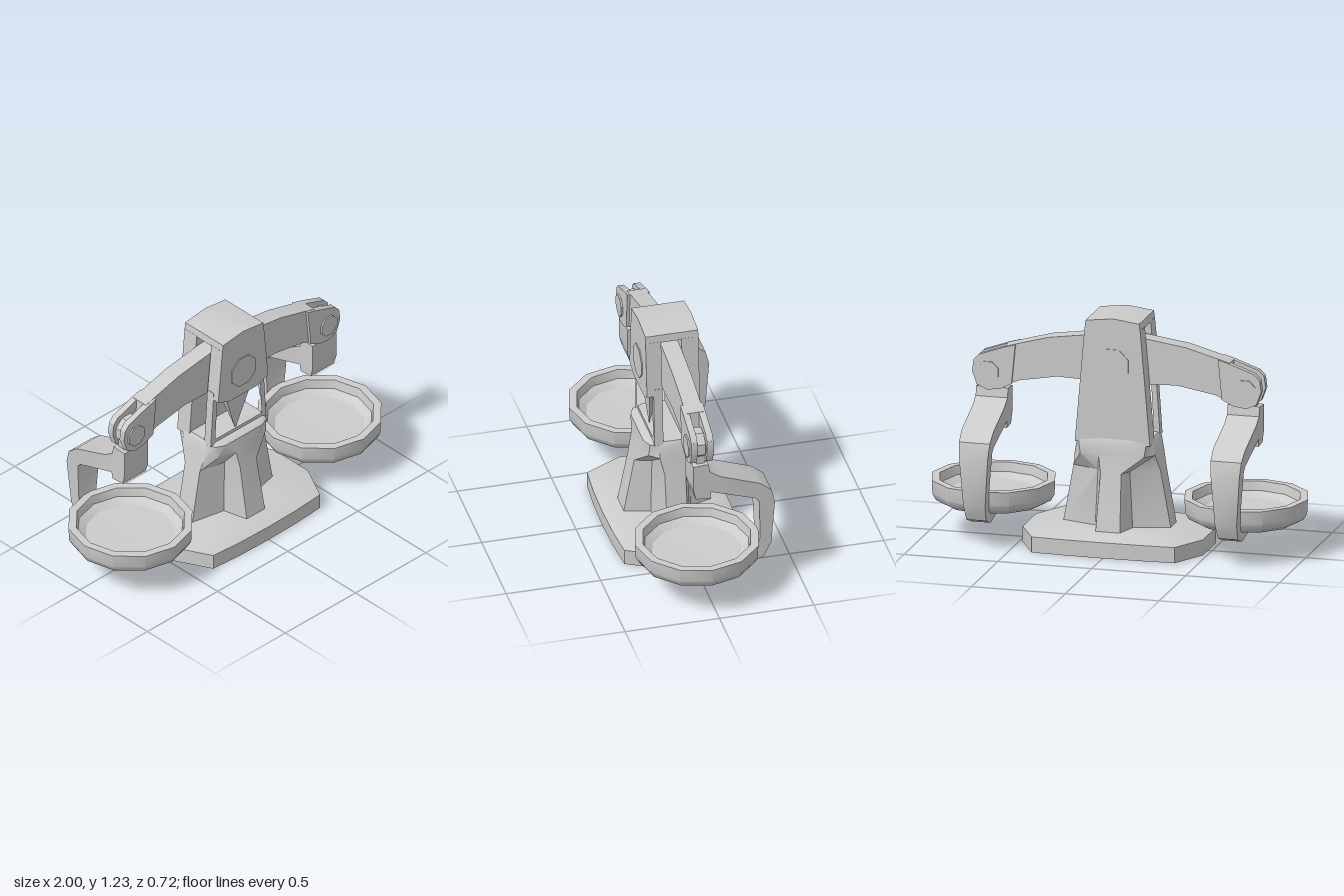
import * as THREE from 'three';
import { toCreasedNormals } from 'three/addons/utils/BufferGeometryUtils.js';

const material = new THREE.MeshStandardMaterial({ color: 0xcccccc });

function part(name, geometry, parent) {
  const mesh = new THREE.Mesh(toCreasedNormals(geometry, 0.56), material);
  mesh.name = name;
  parent.add(mesh);
  return mesh;
}

// Flat plate: outline in x/y, running from z0 to z1
function plate(points, z0, z1, hole) {
  const toVec = (p) => new THREE.Vector2(p[0], p[1]);
  const shape = new THREE.Shape(points.map(toVec));
  if (hole) shape.holes.push(new THREE.Path(hole.map(toVec)));
  return new THREE.ExtrudeGeometry(shape, { depth: z1 - z0, bevelEnabled: false }).translate(0, 0, z0);
}

// Right half of an outline, mirrored into a closed loop
function mirrored(half) {
  return [...half, ...half.filter((p) => p[0] > 0).reverse().map(([x, y]) => [-x, y])];
}

// Solid through horizontal sections; each is { y, half: [[x, z], ...] } from front to back
function loft(sections) {
  const loops = sections.map((s) => mirrored(s.half).map(([x, z]) => [x, s.y, z]));
  const n = loops[0].length;
  const positions = loops.flat(2);
  const index = [];
  for (let k = 0; k < loops.length - 1; k++) {
    for (let i = 0; i < n; i++) {
      const a = k * n + i, b = k * n + (i + 1) % n;
      index.push(a, b, b + n, a, b + n, a + n);
    }
  }
  const bottom = loops.length * n, top = bottom + 1, last = (loops.length - 1) * n;
  positions.push(0, sections[0].y, 0.03, 0, sections.at(-1).y, 0.03);
  for (let i = 0; i < n; i++) {
    const j = (i + 1) % n;
    index.push(bottom, j, i, top, last + i, last + j);
  }
  const g = new THREE.BufferGeometry();
  g.setAttribute('position', new THREE.Float32BufferAttribute(positions, 3));
  g.setIndex(index);
  return g;
}

// Octagonal pin along z
function pin(r, x, y, z0, z1) {
  return new THREE.CylinderGeometry(r, r, z1 - z0, 8).rotateY(Math.PI / 8)
    .rotateX(Math.PI / 2).translate(x, y, (z0 + z1) / 2);
}

function addStand(group) {
  const rim = [[0, 0.36], [0.2, 0.356], [0.38, 0.343], [0.48, 0.15], [0.48, -0.1], [0.38, -0.285], [0.2, -0.293], [0, -0.296]];
  const inner = [[0, 0.27], [0.13, 0.268], [0.26, 0.262], [0.31, 0.13], [0.31, -0.07], [0.26, -0.2], [0.13, -0.205], [0, -0.207]];
  part('base', loft([{ y: 0, half: rim }, { y: 0.083, half: rim }, { y: 0.113, half: inner }]), group);

  // Cross-shaped foot flaring into a collar
  part('pedestal', loft([
    { y: 0.105, half: [[0.065, 0.265], [0.1, 0.13], [0.287, 0.09], [0.287, -0.02], [0.1, -0.08], [0.065, -0.2]] },
    { y: 0.41, half: [[0.058, 0.207], [0.085, 0.12], [0.232, 0.09], [0.232, -0.02], [0.085, -0.08], [0.055, -0.14]] },
    { y: 0.5, half: [[0.07, 0.19], [0.17, 0.16], [0.213, 0.11], [0.213, -0.06], [0.17, -0.115], [0.07, -0.124]] },
    { y: 0.57, half: [[0.13, 0.177], [0.18, 0.155], [0.2, 0.11], [0.2, -0.06], [0.18, -0.11], [0.07, -0.118]] },
    { y: 0.585, half: [[0.12, 0.15], [0.165, 0.135], [0.19, 0.1], [0.19, -0.06], [0.17, -0.105], [0.07, -0.11]] },
  ]), group);

  // Tower: back wall, open front frame, front plate and roof
  part('backWall', plate(mirrored([[0, 1.17], [0.148, 1.17], [0.2, 0.56], [0, 0.56]]), -0.11, -0.02), group);
  part('frontFrame', plate(mirrored([[0, 0.9], [0.176, 0.9], [0.198, 0.57], [0, 0.57]]), 0.088, 0.135,
    [[-0.15, 0.87], [0.15, 0.87], [0.165, 0.605], [-0.165, 0.605]]), group);
  part('frontPlate', plate(mirrored([[0, 1.17], [0.148, 1.17], [0.178, 0.86], [0.1, 0.83], [0, 0.83]]), 0.088, 0.17), group);
  part('roof', plate(mirrored([[0, 1.225], [0.143, 1.207], [0.148, 1.165], [0, 1.165]]), -0.11, 0.17), group);
  part('centrePin', pin(0.092, 0, 0.977, -0.114, 0.176), group);

  // Tapered needle hanging from the front plate
  const needle = new THREE.CylinderGeometry(0.1, 0.004, 0.25, 4, 1).rotateY(Math.PI / 4);
  needle.scale(1.35, 1, 0.32).translate(0, 0.715, 0.112);
  part('needle', needle, group);
}

function addBeam(group) {
  part('beam', plate(mirrored([
    [0, 1.12], [0.155, 1.105], [0.365, 1.075], [0.6, 1.01],
    [0.61, 0.8], [0.52, 0.835], [0.32, 0.87], [0, 0.86],
  ]), -0.02, 0.073), group);
  // Forked end with link and pin on each side
  for (const [side, s] of [['left', 1], ['right', -1]]) {
    const cheek = [[0.54, 1.025], [0.6, 1.008], [0.735, 0.96], [0.762, 0.93], [0.77, 0.87],
      [0.745, 0.8], [0.69, 0.775], [0.62, 0.785], [0.56, 0.815]].map(([x, y]) => [s * x, y]);
    part(side + 'FrontCheek', plate(cheek, 0.055, 0.088), group);
    part(side + 'BackCheek', plate(cheek, -0.03, 0.005), group);
    part(side + 'LinkEye', pin(0.08, s * 0.675, 0.875, 0.008, 0.052), group);
    const link = new THREE.BoxGeometry(0.12, 0.12, 0.044).translate(s * 0.672, 0.82, 0.03);
    part(side + 'Link', link, group);
    part(side + 'Pin', pin(0.06, s * 0.685, 0.87, -0.036, 0.097), group);
  }
}

// Half width of the hanger, narrowing downwards and towards its tip
function hangerHalfWidth(y, z) {
  const w = THREE.MathUtils.lerp(0.05, 0.085, THREE.MathUtils.clamp((y - 0.12) / 0.5, 0, 1));
  return y < 0.2 && z > -0.25 ? THREE.MathUtils.mapLinear(z, -0.25, 0.2, 0.053, 0.02) : w;
}

function addHanger(side, s, group) {
  // Side profile as [z, y], swept backwards and under the pan
  const g = plate([
    [0.075, 0.78], [-0.005, 0.785], [-0.015, 0.735], [-0.07, 0.7], [-0.28, 0.625], [-0.34, 0.575],
    [-0.36, 0.5], [-0.345, 0.24], [-0.305, 0.155], [-0.21, 0.12], [0.19, 0.143], [0.2, 0.175],
    [-0.2, 0.172], [-0.262, 0.2], [-0.285, 0.28], [-0.277, 0.51], [-0.255, 0.535],
    [-0.02, 0.615], [-0.015, 0.575], [0.06, 0.58], [0.075, 0.635],
  ], -1, 1).rotateY(-Math.PI / 2);
  const p = g.attributes.position;
  for (let i = 0; i < p.count; i++) {
    p.setX(i, p.getX(i) * hangerHalfWidth(p.getY(i), p.getZ(i)));
  }
  part(side + 'Hanger', g, group).position.x = s * 0.67;
}

function addPan(side, s, group) {
  const profile = [[0, 0.17], [0.265, 0.17], [0.305, 0.192], [0.324, 0.225], [0.327, 0.298], [0.285, 0.298],
    [0.275, 0.25], [0.235, 0.222], [0, 0.215]].map(([r, y]) => new THREE.Vector2(r, y));
  part(side + 'Pan', new THREE.LatheGeometry(profile, 12), group).position.set(s * 0.673, 0, 0.035);
}

export function createModel() {
  const group = new THREE.Group();
  group.name = 'balanceScale';
  addStand(group);
  addBeam(group);
  for (const [side, s] of [['left', 1], ['right', -1]]) {
    addHanger(side, s, group);
    addPan(side, s, group);
  }
  return group;
}
